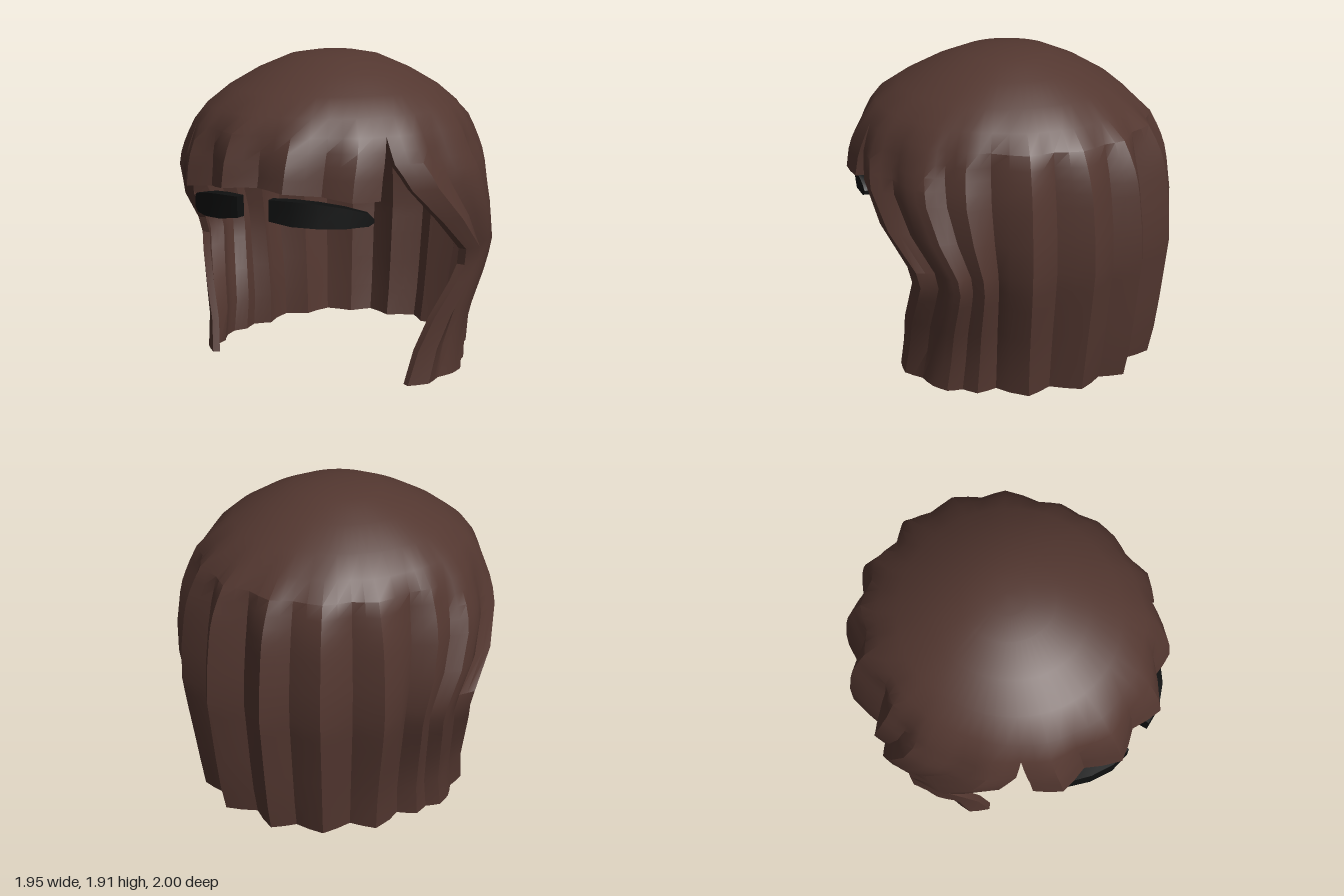
import * as THREE from 'three';
import { mergeGeometries, toCreasedNormals } from 'three/addons/utils/BufferGeometryUtils.js';

const clamp = THREE.MathUtils.clamp;

// Rings from crown to hem: y, side radius, back radius, front radius,
// strand depth, half-angle of the long hair, half-angle of the fringe
const RINGS = [
  [1.91, 0, 0, 0, 0, 133, 47],
  [1.902, 0.13, 0.13, 0.13, 0, 133, 47],
  [1.88, 0.27, 0.25, 0.28, 0, 133, 47],
  [1.8, 0.46, 0.43, 0.48, 0, 133, 47],
  [1.7, 0.63, 0.61, 0.67, 0, 133, 47],
  [1.6, 0.75, 0.74, 0.82, 0.1, 133, 47],
  [1.5, 0.83, 0.86, 0.9, 0.45, 133, 47],
  [1.42, 0.87, 0.9, 0.94, 0.75, 132, 46],
  [1.35, 0.9, 0.93, 0.97, 0.9, 131, 45],
  [1.28, 0.93, 0.95, 0.985, 1, 128, 44],
  [1.2, 0.95, 0.965, 1, 1, 125, 43],
  [1.0, 0.98, 0.99, 0.95, 1, 112, 43],
  [0.8, 0.975, 1, 0.9, 1, 98, 43],
  [0.7, 0.955, 0.99, 0.88, 1, 97, 43],
  [0.6, 0.93, 0.98, 0.85, 1, 100, 43],
  [0.4, 0.87, 0.96, 0.78, 1, 108, 43],
  [0.2, 0.83, 0.935, 0.73, 1, 114, 43],
  [0, 0.83, 0.9, 0.71, 1, 119, 43],
];

// Strand ridges and valleys over one half: angle from the middle, radius factor
const BACK_STRANDS = [[0, 0.9], [11, 1.02], [19.5, 0.93], [31, 1.01], [42, 0.9], [52, 1], [67, 0.88],
  [76, 0.97], [85, 0.94], [92, 1], [101, 0.99], [111, 0.95], [122, 1], [133, 0.96]];
const FRINGE_STRANDS = [[0, 0.93], [12, 1.015], [25, 0.92], [36, 1], [47, 0.96]];

// Mirrors a half list and adds a column between each ridge and valley
function fullColumns(half) {
  const dense = [];
  half.forEach(([a, f], i) => {
    if (i) dense.push([(a + half[i - 1][0]) / 2, (f + half[i - 1][1]) / 2]);
    dense.push([a, f]);
  });
  return [...dense.slice(1).reverse().map(([a, f]) => [-a, f]), ...dense];
}

// Closed shell of hair: outer skin, inner skin, side walls and hem
function hairPanel(half, rings, centre, spread, hem) {
  const columns = fullColumns(half);
  const n = columns.length, loop = 2 * n;
  const positions = [], index = [];

  const place = (ring, last, [s, f], inner) => {
    const [y0, side, back, front, depth] = ring;
    const a = THREE.MathUtils.degToRad(centre + spread(s, ring));
    const c = Math.cos(a), sn = Math.sin(a);
    let r = Math.hypot(side * sn, (c > 0 ? front : back) * c) * (1 + (f - 1) * depth);
    let y = last ? hem(Math.abs(s)) : y0;
    if (inner) {
      r *= 0.945;
      if (!last) y -= 0.05 * clamp((y0 - 1.2) / 0.6, 0, 1);
    }
    positions.push(r * sn, y, r * c);
  };

  rings.forEach((ring, i) => {
    const last = i === rings.length - 1;
    for (let j = 0; j < n; j++) place(ring, last, columns[j], false);
    for (let j = n - 1; j >= 0; j--) place(ring, last, columns[j], true);
  });
  for (let i = 0; i < rings.length - 1; i++) {
    for (let j = 0; j < loop; j++) {
      const k = (j + 1) % loop, t = i * loop, b = t + loop;
      if (i) index.push(t + j, b + j, t + k);
      index.push(b + j, b + k, t + k);
    }
  }
  const h = (rings.length - 1) * loop;
  for (let j = 0; j < n - 1; j++) {
    const o = h + j, q = h + loop - 1 - j;
    index.push(o, q, o + 1, q, q - 1, o + 1);
  }
  const geometry = new THREE.BufferGeometry();
  geometry.setAttribute('position', new THREE.Float32BufferAttribute(positions, 3));
  geometry.setIndex(index);
  return geometry;
}

// Curved, tapering eyebrow: x, z, top, bottom, thickness along its length
const BROW = [
  [0.1, 0.98, 1.17, 1.05, 0.06],
  [0.23, 0.965, 1.17, 1.03, 0.08],
  [0.36, 0.9, 1.155, 1.018, 0.08],
  [0.48, 0.8, 1.125, 1.01, 0.07],
  [0.57, 0.69, 1.085, 1.012, 0.05],
  [0.59, 0.66, 1.05, 1.03, 0.03],
];
function eyebrow(sign) {
  const steps = BROW.length - 1;
  const geometry = new THREE.BoxGeometry(1, 1, 1, steps, 1, 1);
  const p = geometry.attributes.position;
  for (let i = 0; i < p.count; i++) {
    const [x, z, top, bottom, thick] = BROW[Math.round((0.5 + sign * p.getX(i)) * steps)];
    const scale = p.getZ(i) > 0 ? 1 : 1 - thick / Math.hypot(x, z);
    p.setXYZ(i, sign * x * scale, p.getY(i) > 0 ? top : bottom, z * scale);
  }
  return toCreasedNormals(geometry, 0.7);
}

export function createModel() {
  const group = new THREE.Group();
  const brown = new THREE.MeshStandardMaterial({ color: 0x533730 });
  brown.name = 'brown hair';
  const black = new THREE.MeshStandardMaterial({ color: 0x0f1010 });
  black.name = 'black brow';

  // Long hair: the side locks sweep back at the waist and forward at the hem
  const long = hairPanel(BACK_STRANDS, RINGS, 180, (s, ring) => {
    const m = Math.abs(s);
    return m <= 60 ? s : Math.sign(s) * (60 + (m - 60) * (ring[5] - 60) / 73);
  }, (m) => 0.03 - 0.03 * clamp((m - 40) / 50, 0, 1));

  // Fringe over the forehead
  const fringe = hairPanel(FRINGE_STRANDS, RINGS.slice(0, 11), 0,
    (s, ring) => s * ring[6] / 47,
    (m) => 1.22 - 0.06 * clamp((m - 8) / 30, 0, 1));

  const hair = new THREE.Mesh(toCreasedNormals(mergeGeometries([long, fringe]), 0.5), brown);
  hair.name = 'hair';
  group.add(hair);

  for (const [name, sign] of [['leftEyebrow', 1], ['rightEyebrow', -1]]) {
    const brow = new THREE.Mesh(eyebrow(sign), black);
    brow.name = name;
    group.add(brow);
  }
  return group;
}
